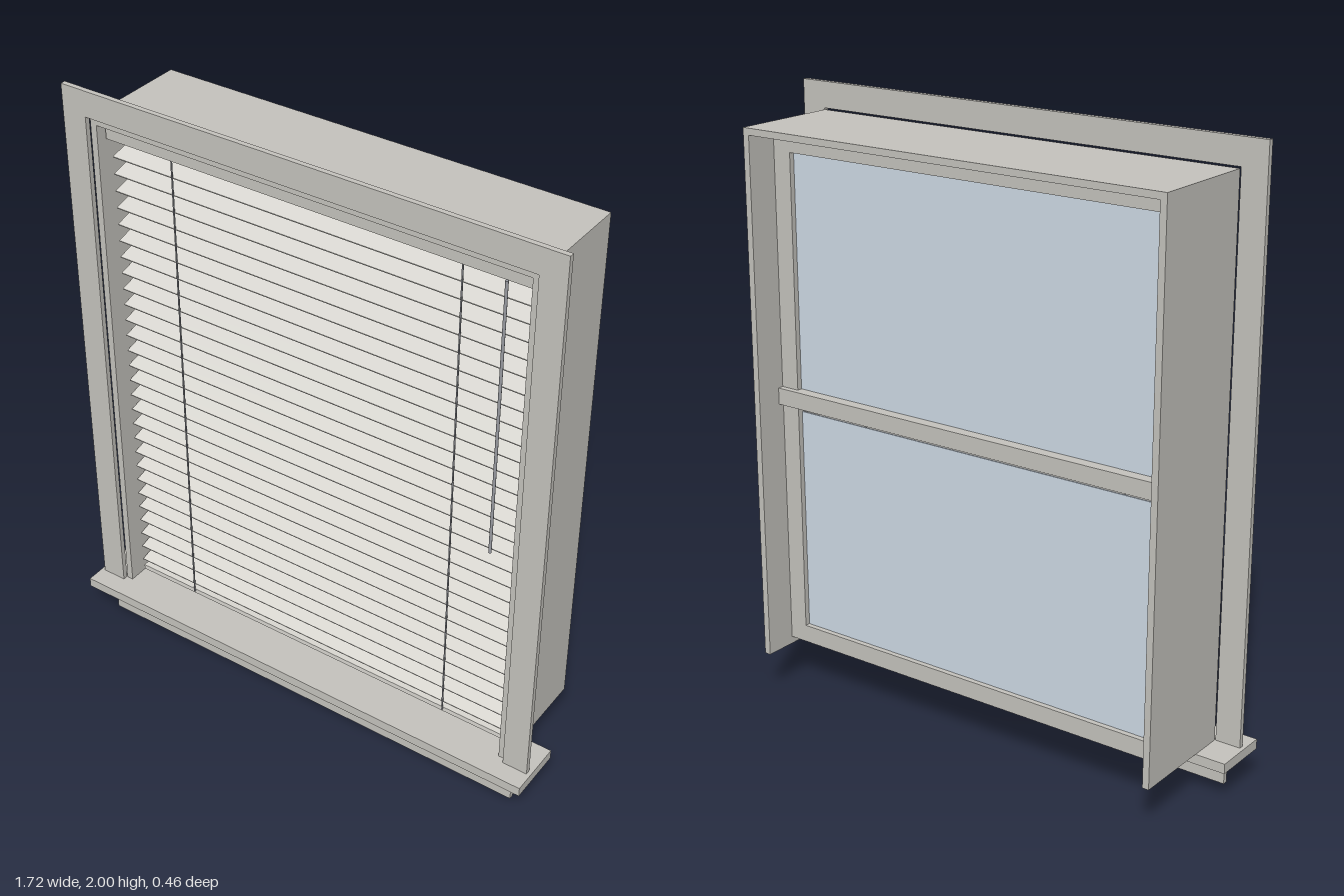
import * as THREE from 'three';

const mat = (name, color) => {
  const m = new THREE.MeshStandardMaterial({ color });
  m.name = name;
  return m;
};

export function createModel() {
  const trim = mat('warm white paint', 0xc6c4be);
  const slatPaint = mat('blind white', 0xdad8d2);
  const glassMat = mat('pale blue glass', 0xd0dce8);
  const cordMat = mat('grey cord', 0x9a9ca2);

  const root = new THREE.Group();
  root.name = 'windowWithBlind';

  const group = (name) => {
    const g = new THREE.Group();
    g.name = name;
    root.add(g);
    return g;
  };
  // Box given by its minimum and maximum along each axis
  const box = (parent, name, material, [x0, x1], [y0, y1], [z0, z1]) => {
    const mesh = new THREE.Mesh(new THREE.BoxGeometry(x1 - x0, y1 - y0, z1 - z0), material);
    mesh.position.set((x0 + x1) / 2, (y0 + y1) / 2, (z0 + z1) / 2);
    mesh.name = name;
    parent.add(mesh);
    return mesh;
  };
  // Mirrored pair of boxes, left (+x) and right (-x)
  const pair = (parent, name, material, [x0, x1], y, z) => {
    box(parent, name + 'Left', material, [x0, x1], y, z);
    box(parent, name + 'Right', material, [-x1, -x0], y, z);
  };

  // Flat casing around the opening, with stool and apron
  const casing = group('casing');
  const casingZ = [0.148, 0.165];
  box(casing, 'headCasing', trim, [-0.845, 0.845], [1.915, 2], casingZ);
  pair(casing, 'sideCasing', trim, [0.76, 0.845], [0.14, 1.915], casingZ);
  box(casing, 'stool', trim, [-0.858, 0.858], [0.107, 0.14], [0.035, 0.23]);
  box(casing, 'apron', trim, [-0.795, 0.795], [0, 0.107], casingZ);

  // Deep jamb box, open at the bottom
  const jamb = group('jambBox');
  pair(jamb, 'sideJamb', trim, [0.735, 0.757], [0.14, 1.91], [-0.23, 0.148]);
  box(jamb, 'headJamb', trim, [-0.735, 0.735], [1.888, 1.91], [-0.23, 0.148]);

  // Sashes: stiles, rails and panes
  const sash = group('sashes');
  const sashZ = [-0.12, -0.075];
  pair(sash, 'stile', trim, [0.67, 0.735], [0.165, 1.888], sashZ);
  box(sash, 'topRail', trim, [-0.67, 0.67], [1.825, 1.888], sashZ);
  box(sash, 'bottomRail', trim, [-0.67, 0.67], [0.165, 0.224], sashZ);
  box(sash, 'meetingRail', trim, [-0.735, 0.735], [1, 1.055], [-0.14, -0.06]);
  box(sash, 'sashLock', trim, [-0.08, 0.08], [1.052, 1.066], [-0.085, -0.05]);
  box(sash, 'upperPane', glassMat, [-0.67, 0.67], [1.055, 1.825], [-0.102, -0.096]);
  box(sash, 'lowerPane', glassMat, [-0.67, 0.67], [0.224, 0.978], [-0.102, -0.096]);

  // Blind: head rail, tilted slats and bottom rail
  const blind = group('blind');
  box(blind, 'headRail', trim, [-0.73, 0.73], [1.832, 1.886], [0.02, 0.115]);
  const slatGeometry = new THREE.BoxGeometry(1.446, 0.004, 0.088);
  for (let i = 0; i < 28; i++) {
    const slat = new THREE.Mesh(slatGeometry, slatPaint);
    slat.name = 'slat';
    slat.position.set(0, 1.777 - i * 0.0579, 0.056);
    slat.rotation.x = 0.255; // front edge lower than the back
    blind.add(slat);
  }
  box(blind, 'blindBottomRail', slatPaint, [-0.72, 0.72], [0.161, 0.178], [0.014, 0.098]);

  // Ladder cords in front of and behind the slats
  for (const z of [0.101, 0.011]) {
    pair(blind, 'ladderCord', cordMat, [0.495, 0.499], [0.17, 1.835], [z - 0.002, z + 0.002]);
  }

  // Tilt wand hanging at the left
  const wand = new THREE.Mesh(new THREE.CylinderGeometry(0.005, 0.005, 0.93, 8), cordMat);
  wand.name = 'tiltWand';
  wand.position.set(0.645, 1.37, 0.122);
  blind.add(wand);

  return root;
}
